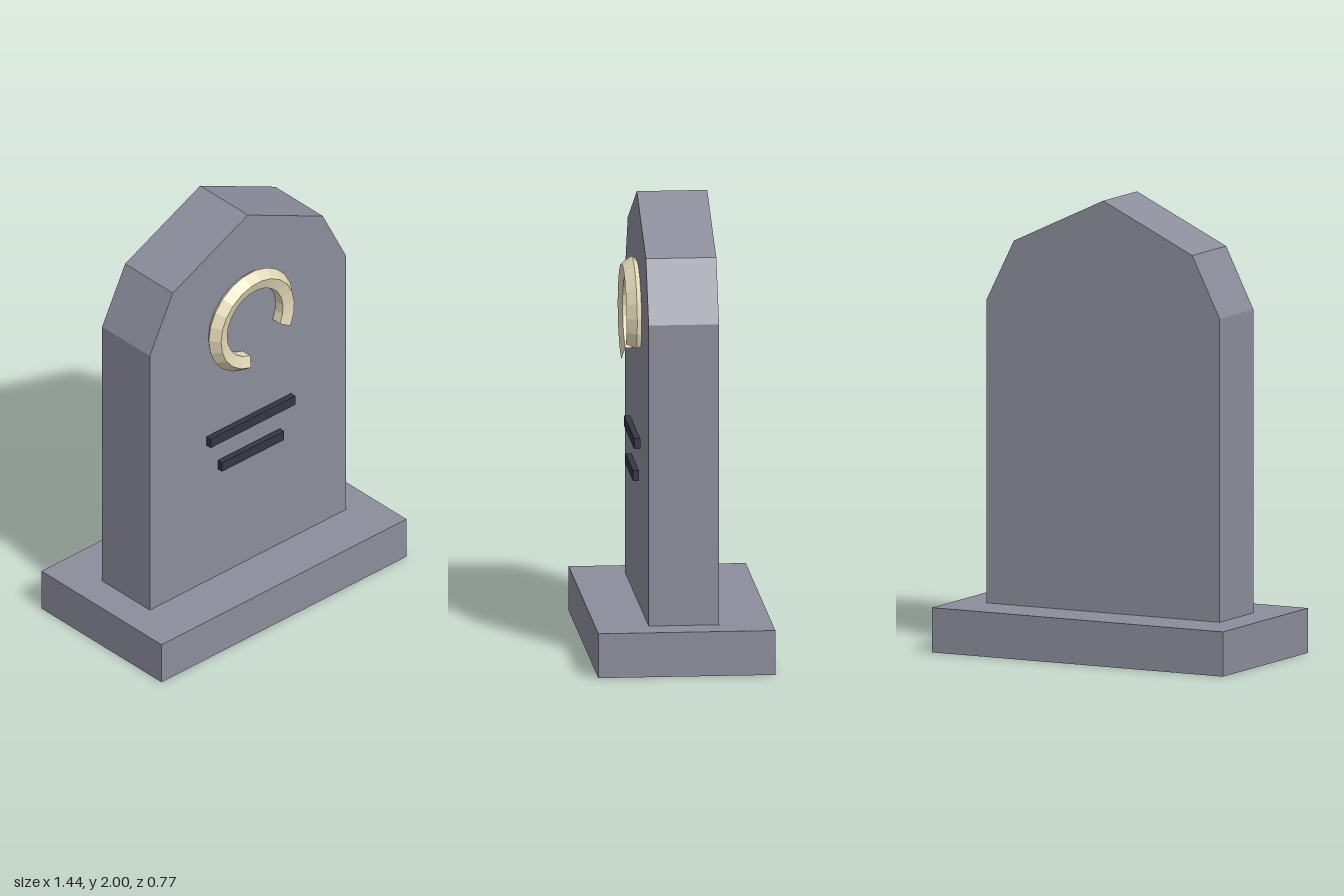
import * as THREE from 'three';

export function createModel() {
  const model = new THREE.Group();
  const stone = new THREE.MeshStandardMaterial({ color: 0x8b8d9b, flatShading: true });
  const bone = new THREE.MeshStandardMaterial({ color: 0xe3d8b8, flatShading: true });
  const dark = new THREE.MeshStandardMaterial({ color: 0x353545, flatShading: true });

  const add = (name, geometry, material, x, y, z) => {
    const mesh = new THREE.Mesh(geometry, material);
    mesh.name = name;
    mesh.position.set(x, y, z);
    model.add(mesh);
    return mesh;
  };

  // Plinth
  add('base', new THREE.BoxGeometry(1.436, 0.196, 0.77), stone, 0, 0.098, 0);

  // Upright slab with a faceted, pointed top
  const outline = [[-0.575, 0.196], [0.575, 0.196], [0.575, 1.525], [0.44, 1.793],
    [0, 2], [-0.44, 1.793], [-0.575, 1.525]];
  const shape = new THREE.Shape(outline.map(([x, y]) => new THREE.Vector2(x, y)));
  const depth = 0.306;
  add('slab', new THREE.ExtrudeGeometry(shape, { depth, bevelEnabled: false }), stone, 0, 0, -depth / 2);

  // Broken ring emblem, half sunk into the front face
  const ring = add('brokenRing', new THREE.TorusGeometry(0.201, 0.046, 5, 18, 5.01), bone, 0, 1.463, 0.173);
  ring.rotation.z = -0.477;

  // Two inscription bars
  [['upperBar', 0.496, 0.934], ['lowerBar', 0.364, 0.78]].forEach(([name, width, y]) =>
    add(name, new THREE.BoxGeometry(width, 0.046, 0.027), dark, 0, y, 0.173));

  return model;
}
